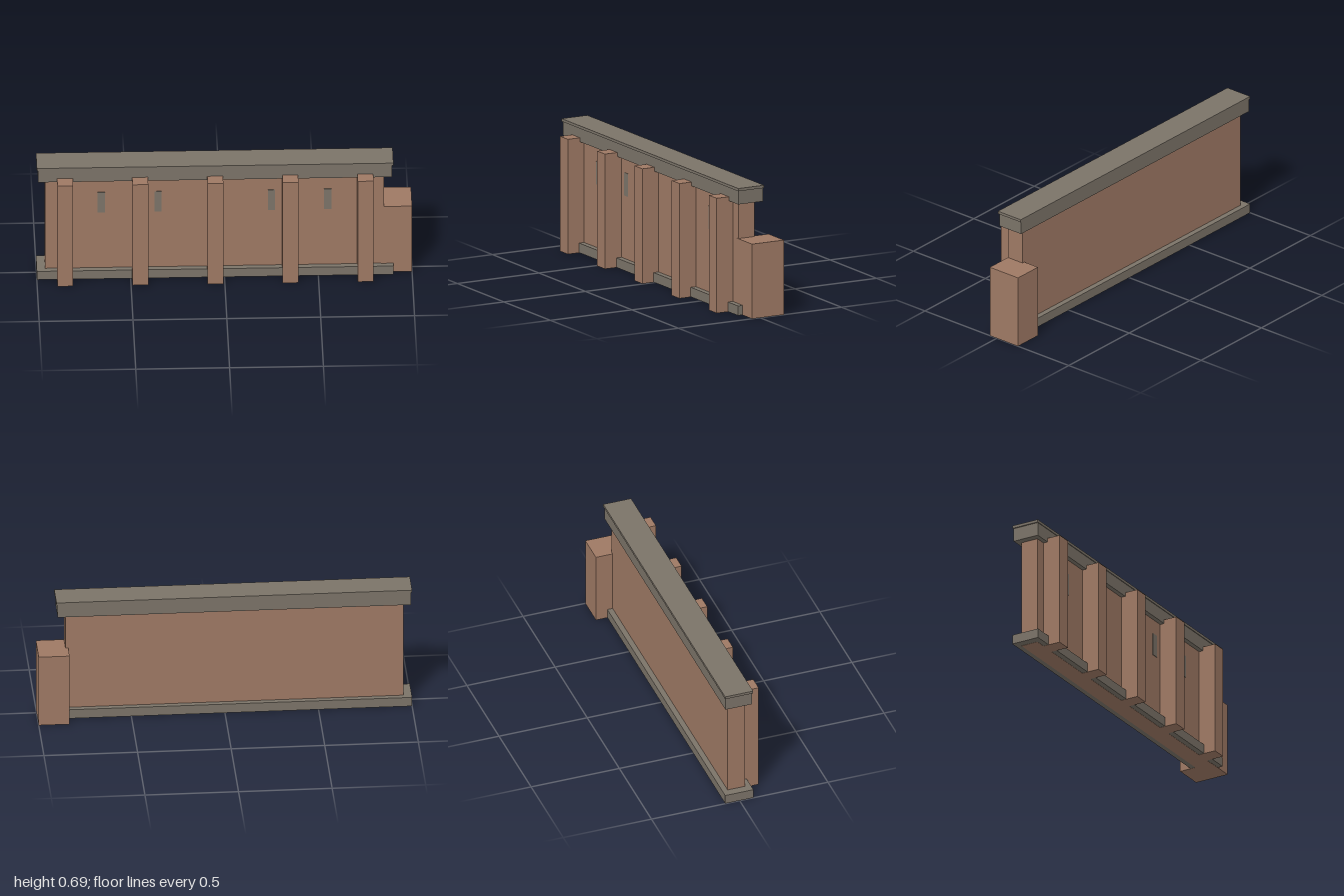
import * as THREE from 'three';

export function createModel() {
  const group = new THREE.Group();
  const brick = new THREE.MeshStandardMaterial({ name: 'brick', color: 0x9e7964 });
  const stone = new THREE.MeshStandardMaterial({ name: 'stone', color: 0x7b7368 });

  // Box given by its extents along each axis
  function block(name, material, [x0, x1], [y0, y1], [z0, z1]) {
    const mesh = new THREE.Mesh(new THREE.BoxGeometry(x1 - x0, y1 - y0, z1 - z0), material);
    mesh.position.set((x0 + x1) / 2, (y0 + y1) / 2, (z0 + z1) / 2);
    mesh.name = name;
    group.add(mesh);
  }

  // Wall with its base course, coping and thin top slab
  block('wall', brick, [-0.955, 0.85], [0, 0.606], [-0.052, 0.047]);
  block('plinth', stone, [-1, 0.9], [0.001, 0.053], [-0.082, 0.078]);
  block('coping', stone, [-0.993, 0.893], [0.606, 0.68], [-0.078, 0.072]);
  block('copingSlab', stone, [-1, 0.9], [0.68, 0.695], [-0.082, 0.076]);

  // Low pier at the left end
  block('endPier', brick, [0.835, 1], [0, 0.408], [-0.147, 0.049]);

  // Evenly spaced buttresses along the front
  for (let i = 0; i < 5; i++) {
    const x = -0.85 + i * 0.4;
    block('buttress', brick, [x - 0.042, x + 0.042], [0, 0.628], [0, 0.147]);
  }

  // Narrow slit windows as thin plates on the front
  for (const x of [-0.656, -0.353, 0.251, 0.551]) {
    block('slitWindow', stone, [x - 0.019, x + 0.019], [0.398, 0.524], [0.045, 0.05]);
  }

  return group;
}
